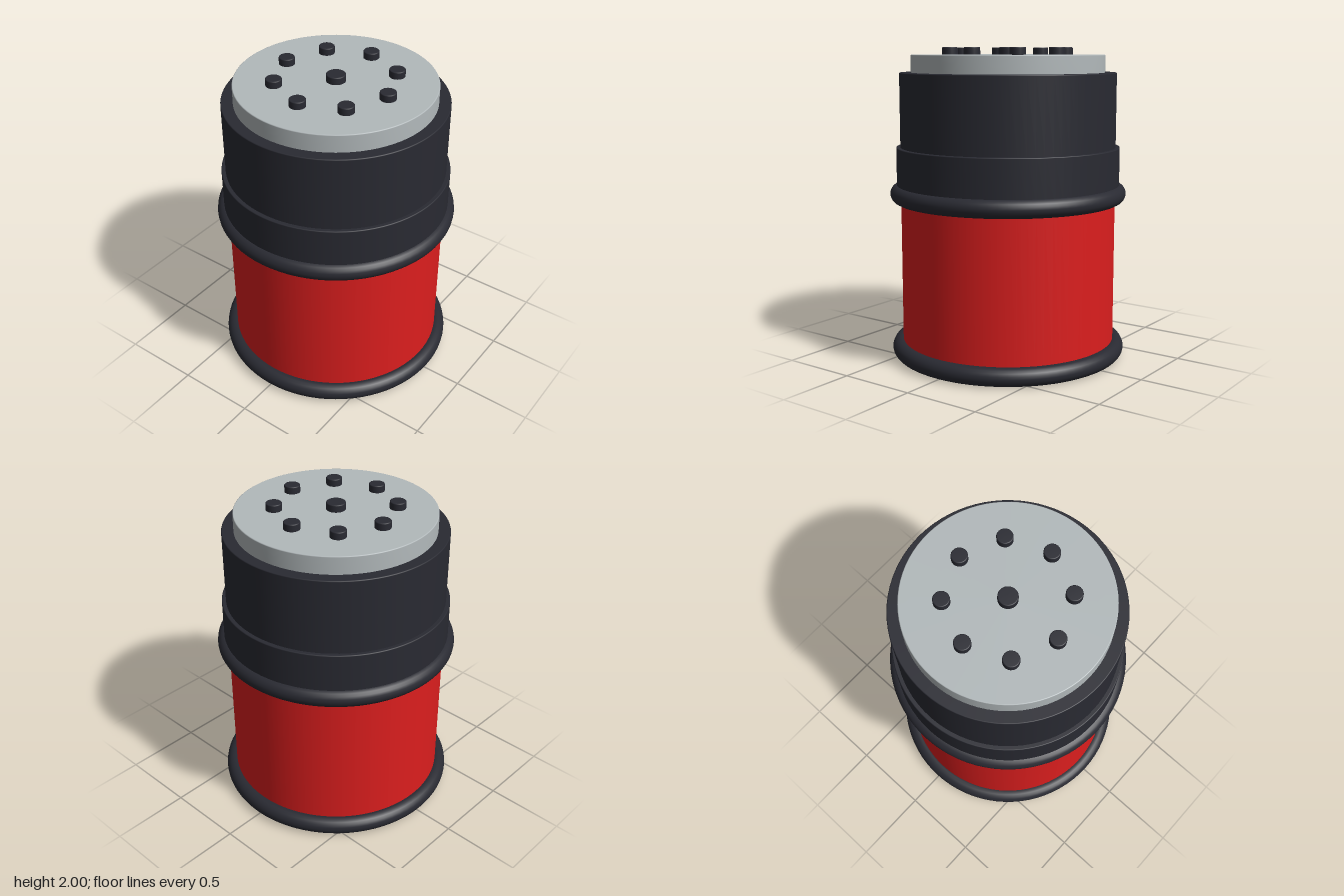
import * as THREE from 'three';

export function createModel() {
  const model = new THREE.Group();
  const red = new THREE.MeshStandardMaterial({ color: 0xdc1e1e });
  const dark = new THREE.MeshStandardMaterial({ color: 0x292a32 });
  const grey = new THREE.MeshStandardMaterial({ color: 0xb2b9bb });
  red.name = 'red';
  dark.name = 'charcoal';
  grey.name = 'grey';

  // Upright drum between two heights, with finely rounded edges
  function drum(name, radius, bottom, top, material, x = 0, z = 0, sides = 80) {
    const edge = 0.006;
    const points = [new THREE.Vector2(0, bottom)];
    for (let i = 0; i <= 6; i++) {
      const a = ((i % 7) / 6) * Math.PI - Math.PI / 2;
      const y = i < 3 ? bottom + edge : top - edge;
      // The middle step becomes the start of the upper rounding
      if (i === 3) points.push(new THREE.Vector2(radius, bottom + edge));
      points.push(new THREE.Vector2(radius - edge + edge * Math.cos(a), y + edge * Math.sin(a)));
    }
    points.push(new THREE.Vector2(0, top));
    const mesh = new THREE.Mesh(new THREE.LatheGeometry(points, sides), material);
    mesh.name = name;
    mesh.position.set(x, 0, z);
    model.add(mesh);
  }

  // Rounded rim lying flat
  function rim(name, y) {
    const mesh = new THREE.Mesh(new THREE.TorusGeometry(0.703, 0.058, 20, 80), dark);
    mesh.name = name;
    mesh.rotation.x = Math.PI / 2;
    mesh.position.y = y;
    model.add(mesh);
  }

  // Canister, from the base upward; its floor sits at the top of the base rim
  rim('baseRim', 0.06);
  drum('lowerBody', 0.692, 0.108, 1.07, red);
  rim('middleRim', 1.073);
  drum('collar', 0.718, 1.07, 1.371, dark);
  drum('upperBody', 0.692, 1.36, 1.842, dark);
  drum('lid', 0.618, 1.83, 1.954, grey);

  // Studs on the lid: one in the centre and a ring of eight
  drum('centreStud', 0.06, 1.94, 2, dark, 0, 0, 24);
  for (let i = 0; i < 8; i++) {
    const a = (i * Math.PI) / 4;
    drum('ringStud', 0.05, 1.94, 2, dark, 0.371 * Math.cos(a), 0.371 * Math.sin(a), 20);
  }
  return model;
}
